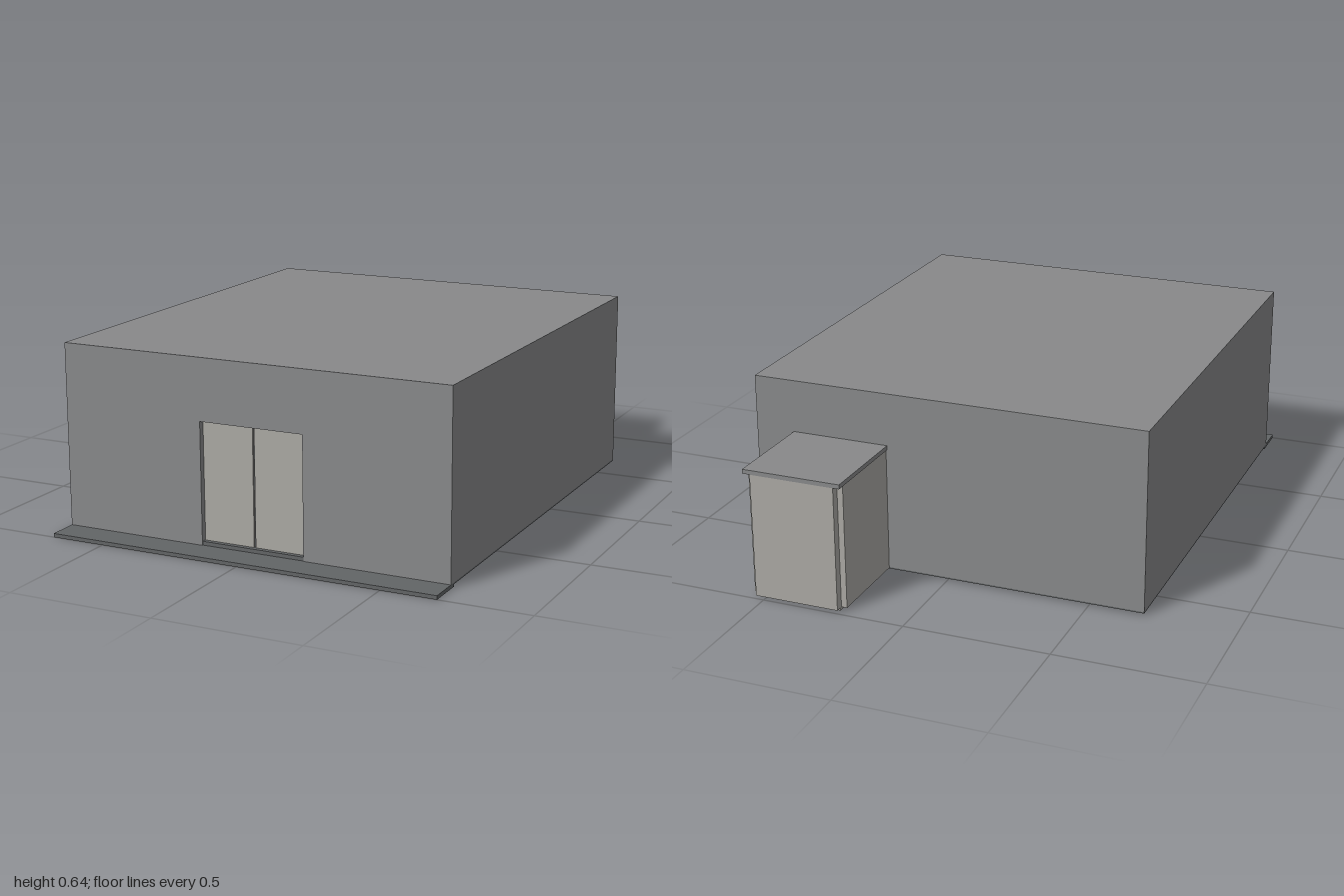
import * as THREE from 'three';

const wallGrey = new THREE.MeshStandardMaterial({ color: 0x88898a });
wallGrey.name = 'wallGrey';
const panelBeige = new THREE.MeshStandardMaterial({ color: 0xaba9a4 });
panelBeige.name = 'panelBeige';
const slabGrey = new THREE.MeshStandardMaterial({ color: 0x626566 });
slabGrey.name = 'slabGrey';

// Box given by its minimum and maximum corners
function box(parent, name, material, [x0, y0, z0], [x1, y1, z1]) {
  const geometry = new THREE.BoxGeometry(x1 - x0, y1 - y0, z1 - z0);
  const mesh = new THREE.Mesh(geometry, material);
  mesh.position.set((x0 + x1) / 2, (y0 + y1) / 2, (z0 + z1) / 2);
  mesh.name = name;
  parent.add(mesh);
  return mesh;
}

function group(parent, name) {
  const g = new THREE.Group();
  g.name = name;
  parent.add(g);
  return g;
}

export function createModel() {
  const model = new THREE.Group();
  model.name = 'building';
  const W = 0.69, BASE = 0.013, TOP = 0.637, FRONT = 0.895, BACK = -0.65;
  const DOOR = 0.184, DOOR_TOP = 0.427, RECESS = 0.868;

  // Main block, with a front wall cut out around the doorway
  box(model, 'mainBlock', wallGrey, [-W, BASE, BACK], [W, TOP, RECESS]);
  const outline = new THREE.Shape([
    [-W, BASE], [-DOOR, BASE], [-DOOR, DOOR_TOP], [DOOR, DOOR_TOP],
    [DOOR, BASE], [W, BASE], [W, TOP], [-W, TOP],
  ].map(([x, y]) => new THREE.Vector2(x, y)));
  const frontWall = new THREE.Mesh(
    new THREE.ExtrudeGeometry(outline, { depth: FRONT - RECESS, bevelEnabled: false }), wallGrey);
  frontWall.position.z = RECESS;
  frontWall.name = 'frontWall';
  model.add(frontWall);

  // Double door set back in the opening
  const door = group(model, 'doubleDoor');
  box(door, 'doorBacking', slabGrey, [-DOOR, BASE, RECESS], [DOOR, DOOR_TOP, RECESS + 0.002]);
  box(door, 'doorSill', slabGrey, [-DOOR, BASE, RECESS], [DOOR, 0.026, FRONT - 0.003]);
  for (const side of [-1, 1]) {
    const a = side * 0.003, b = side * (DOOR - 0.001);
    box(door, side > 0 ? 'leftDoor' : 'rightDoor', panelBeige,
      [Math.min(a, b), 0.026, RECESS], [Math.max(a, b), DOOR_TOP - 0.002, RECESS + 0.008]);
  }

  // Front step and tiled floor underside
  box(model, 'frontStep', slabGrey, [-W, 0, 0.87], [W, BASE, 1]);
  const floor = group(model, 'floor');
  box(floor, 'floorPlate', slabGrey, [-W, 0.008, BACK], [W, BASE, 0.87]);
  const cols = 8, rows = 9, x0 = -0.68, z0 = -0.63, tw = 1.36 / cols, td = 1.495 / rows, gap = 0.001;
  for (let i = 0; i < cols; i++) {
    for (let j = 0; j < rows; j++) {
      const x = x0 + i * tw, z = z0 + j * td;
      box(floor, 'floorTile', slabGrey, [x + gap, 0.005, z + gap], [x + tw - gap, 0.009, z + td - gap]);
    }
  }

  // Rear annex: core, panels with notched corners, and a flat roof
  const annex = group(model, 'annex');
  const L = 0.212, R = 0.548, T = 0.02, EAVE = 0.44;
  box(annex, 'annexCore', panelBeige, [L + T, 0, -0.975], [R - T, EAVE, BACK]);
  box(annex, 'annexRightPanel', panelBeige, [L, 0.01, -0.968], [L + T, EAVE, BACK]);
  box(annex, 'annexLeftPanel', panelBeige, [R - T, 0.01, -0.968], [R, EAVE, BACK]);
  box(annex, 'annexBackPanel', panelBeige, [L + T, 0.01, -0.997], [R - T, EAVE, -0.975]);
  box(annex, 'annexRoof', wallGrey, [0.208, EAVE, -1], [0.552, 0.455, BACK]);
  return model;
}
